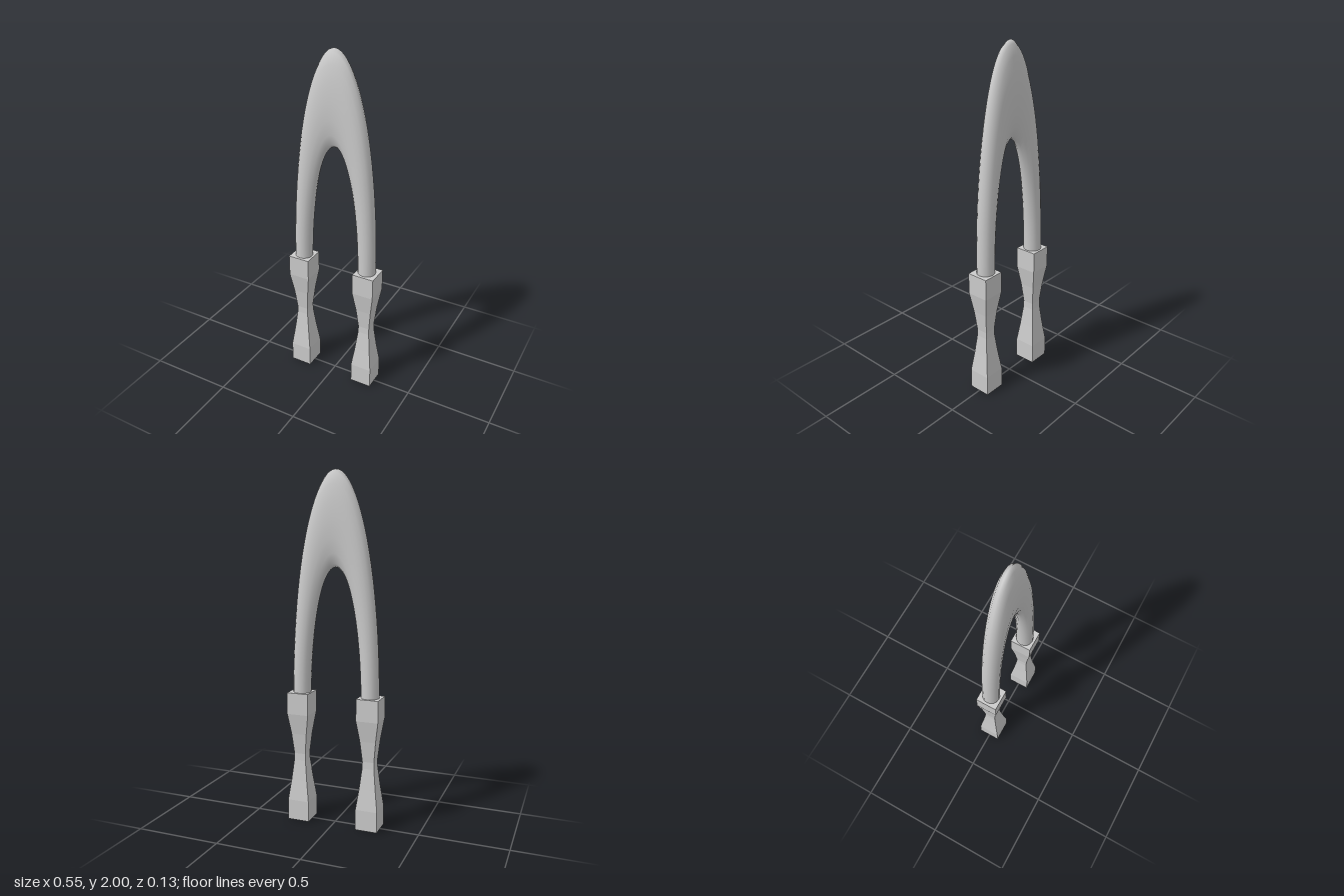
import * as THREE from 'three';

export function createModel() {
  const model = new THREE.Group();
  model.name = 'archedTool';
  const smooth = new THREE.MeshStandardMaterial({ color: 0xcccccc, side: THREE.DoubleSide });
  const faceted = new THREE.MeshStandardMaterial({ color: 0xcccccc, flatShading: true });

  // Arch: half a torus stretched upwards, its ends sunk into the handles
  const archGeo = new THREE.TorusGeometry(0.206, 0.0515, 16, 48, Math.PI);
  archGeo.scale(1, 5.05, 1);
  archGeo.translate(-0.003, 0.7, -0.002);
  const arch = new THREE.Mesh(archGeo, smooth);
  arch.name = 'arch';
  model.add(arch);

  // Handle: square section with a narrow waist, as [half width, height]
  const profile = [
    [0, 0], [0.064, 0], [0.064, 0.12], [0.048, 0.24], [0.035, 0.36],
    [0.034, 0.40], [0.046, 0.52], [0.064, 0.64], [0.064, 0.765], [0, 0.765],
  ].map(([w, y]) => new THREE.Vector2(w * Math.SQRT2, y));
  const handleGeo = new THREE.LatheGeometry(profile, 4, Math.PI / 4).toNonIndexed();
  handleGeo.computeVertexNormals();

  for (const [name, x] of [['leftHandle', 0.208], ['rightHandle', -0.21]]) {
    const handle = new THREE.Mesh(handleGeo, faceted);
    handle.name = name;
    handle.position.set(x, 0, -0.001);
    model.add(handle);
  }
  return model;
}
